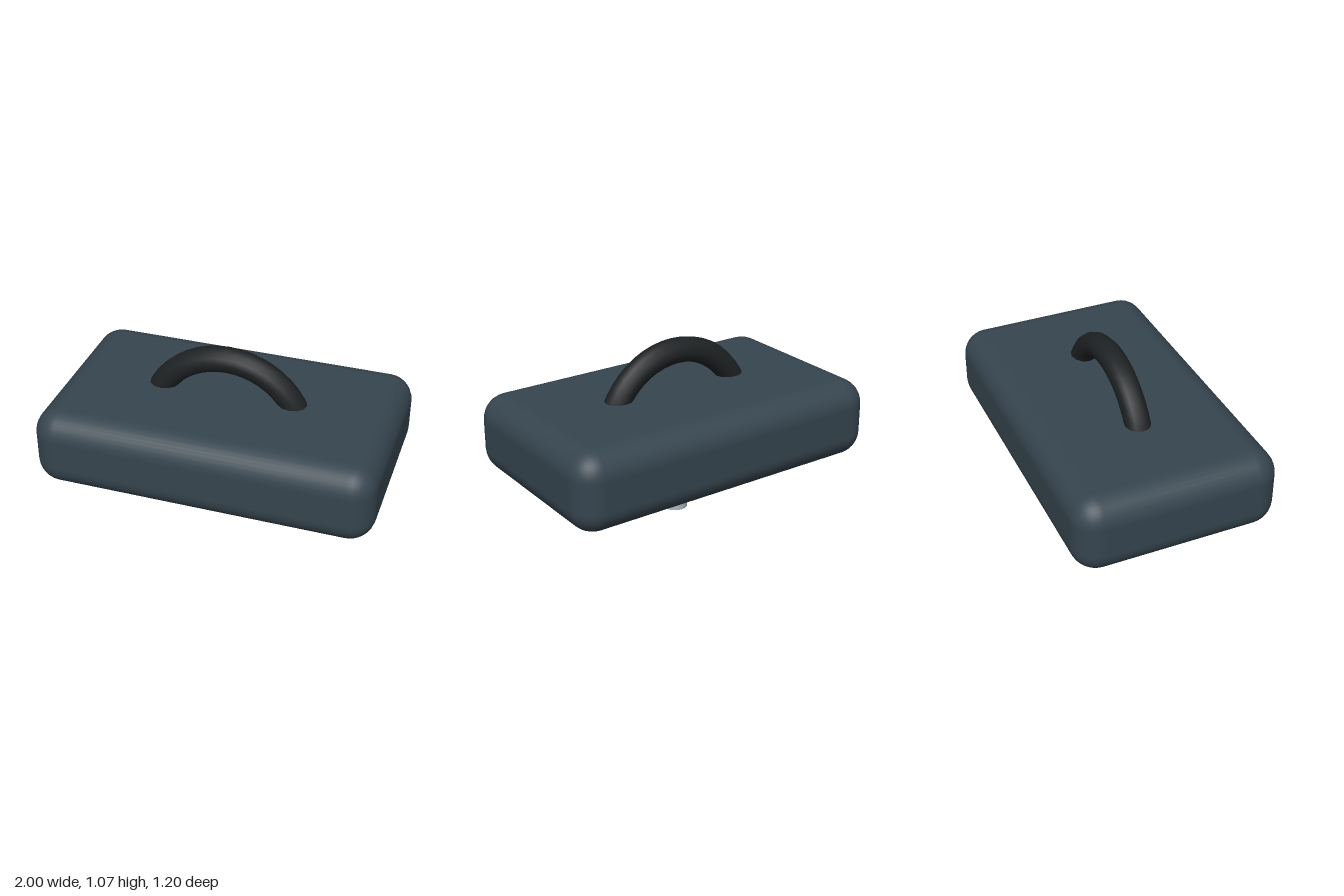
import * as THREE from 'three';
import { RoundedBoxGeometry } from 'three/addons/geometries/RoundedBoxGeometry.js';

export function createModel() {
  const model = new THREE.Group();
  model.name = 'model';

  const add = (name, geometry, color, y) => {
    const mesh = new THREE.Mesh(geometry, new THREE.MeshStandardMaterial({ color }));
    mesh.name = name;
    mesh.position.y = y;
    model.add(mesh);
  };

  // Soft-edged slab forming the main body
  add('body', new RoundedBoxGeometry(2, 0.475, 1.2, 4, 0.15), 0x36454f, 0.5375);

  // Full ring through the body: handle above, loop below
  add('handleRing', new THREE.TorusGeometry(0.456, 0.075, 12, 48), 0x1f2224, 0.54);

  // Short metal post from the underside, crossing the ring
  add('post', new THREE.CylinderGeometry(0.073, 0.073, 0.45, 24), 0xa9b8c0, 0.225);

  return model;
}
